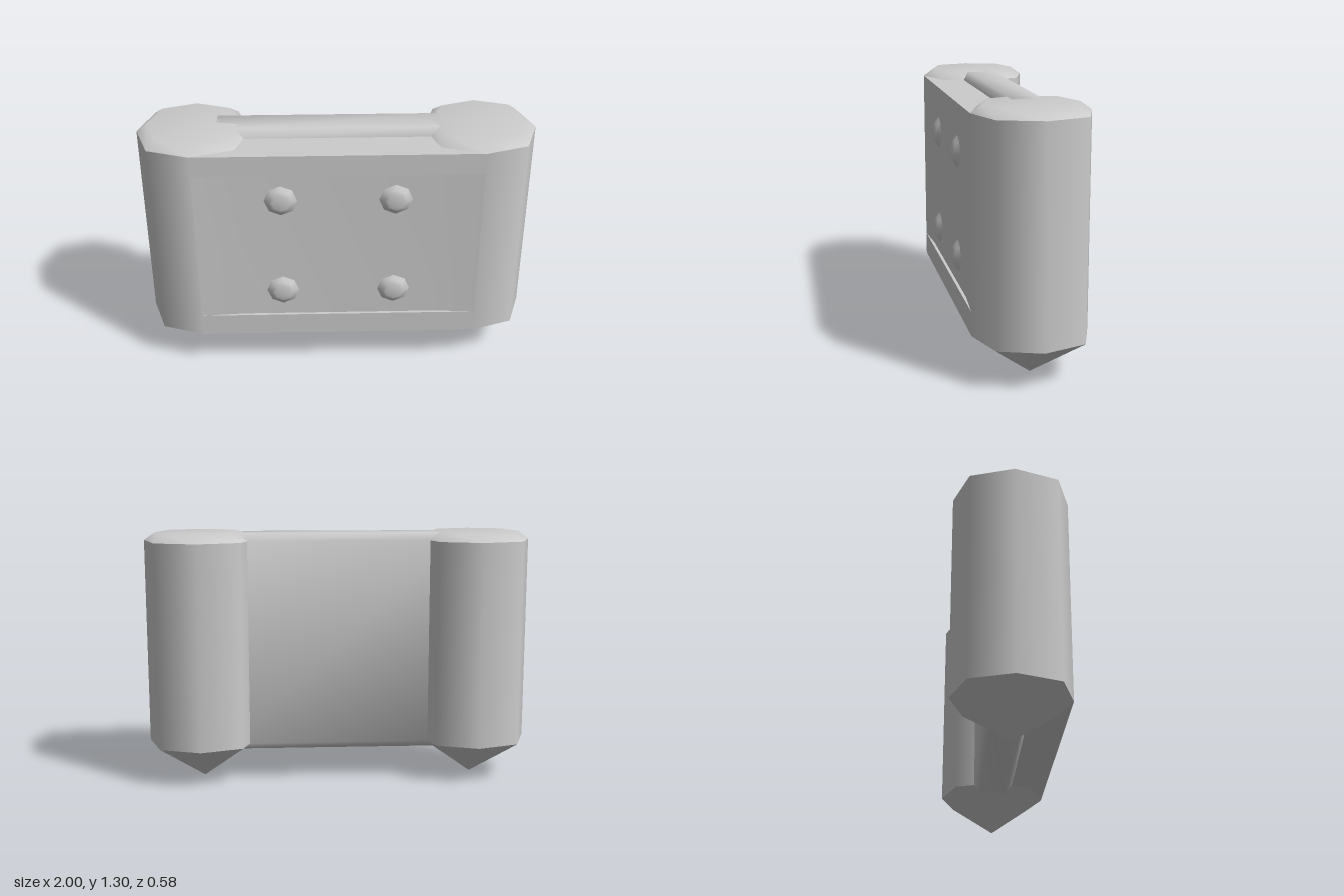
import * as THREE from 'three';
import { toCreasedNormals } from 'three/addons/utils/BufferGeometryUtils.js';

const material = new THREE.MeshStandardMaterial({ color: 0xcccccc });
const CZ = -0.005; // depth centre of the posts
const R = 0.285; // post radius

const v2 = (points) => points.map(([x, y]) => new THREE.Vector2(x, y));

function part(name, geometry) {
  const mesh = new THREE.Mesh(geometry, material);
  mesh.name = name;
  return mesh;
}

// Eight-sided turned piece whose diagonal corners stand slightly proud
function octagon(profile, bulge = 1.055) {
  const geometry = new THREE.LatheGeometry(v2(profile), 8);
  const p = geometry.attributes.position;
  for (let i = 0; i < p.count; i++) {
    const step = Math.floor(i / profile.length);
    if (step % 2) p.setXYZ(i, p.getX(i) * bulge, p.getY(i), p.getZ(i) * bulge);
  }
  return geometry;
}

// Post: straight wall, chamfered cap and pointed foot with sharp rims
function post(name, x) {
  const group = new THREE.Group();
  group.name = name;
  group.add(
    part('postWall', octagon([[R, 0.2], [R, 1.26]])),
    part('postCap', octagon([[R, 1.26], [0.23, 1.3], [0, 1.3]])),
    part('postPoint', octagon([[0, 0], [R, 0.2]])),
  );
  group.position.set(x, 0, CZ);
  return group;
}

// Horizontal slab of the front plate; its face dips in by `dip` mid-span
function plateSlab(name, y0, y1, dip) {
  const front = 0.28;
  const outline = [[-0.715, 0], [0.715, 0], [0.715, -front]];
  if (dip) outline.push([0.5, dip - front], [-0.5, dip - front]);
  outline.push([-0.715, -front]);
  // Outline is in x and -z
  const shape = new THREE.Shape(v2(outline.reverse()));
  const geometry = new THREE.ExtrudeGeometry(shape, { depth: y1 - y0, bevelEnabled: false });
  geometry.rotateX(-Math.PI / 2).translate(0, y0, 0);
  return part(name, toCreasedNormals(geometry, 0.5));
}

// Web joining the posts, chamfered along its top and bottom and softly shaded
function web() {
  const h = 0.105, c = 0.075;
  const shape = new THREE.Shape(v2([
    [-c, 0.165], [c, 0.165], [h, 0.2], [h, 1.26],
    [c, 1.3], [-c, 1.3], [-h, 1.26], [-h, 0.2],
  ]));
  const geometry = new THREE.ExtrudeGeometry(shape, { depth: 1.2, bevelEnabled: false });
  geometry.translate(0, 0, -0.6).rotateY(Math.PI / 2).translate(0, 0, -0.013);
  return part('web', toCreasedNormals(geometry, 1));
}

export function createModel() {
  const model = new THREE.Group();
  model.name = 'doublePostBlock';

  model.add(post('leftPost', 0.715), post('rightPost', -0.715), web());

  // Front plate with a shallow recessed panel
  model.add(
    plateSlab('plateBottom', 0.2, 0.32, 0),
    plateSlab('recessedPanel', 0.32, 1.15, 0.015),
    plateSlab('plateTop', 1.15, 1.26, 0),
  );

  // Four low domed bolts
  const boltProfile = [[0.084, 0], [0.06, 0.018], [0.042, 0.03], [0, 0.03]];
  for (const x of [-0.285, 0.285]) {
    for (const y of [0.47, 1.005]) {
      const bolt = part('bolt', octagon(boltProfile, 1));
      bolt.rotation.x = Math.PI / 2;
      bolt.position.set(x, y, 0.264);
      model.add(bolt);
    }
  }
  return model;
}
